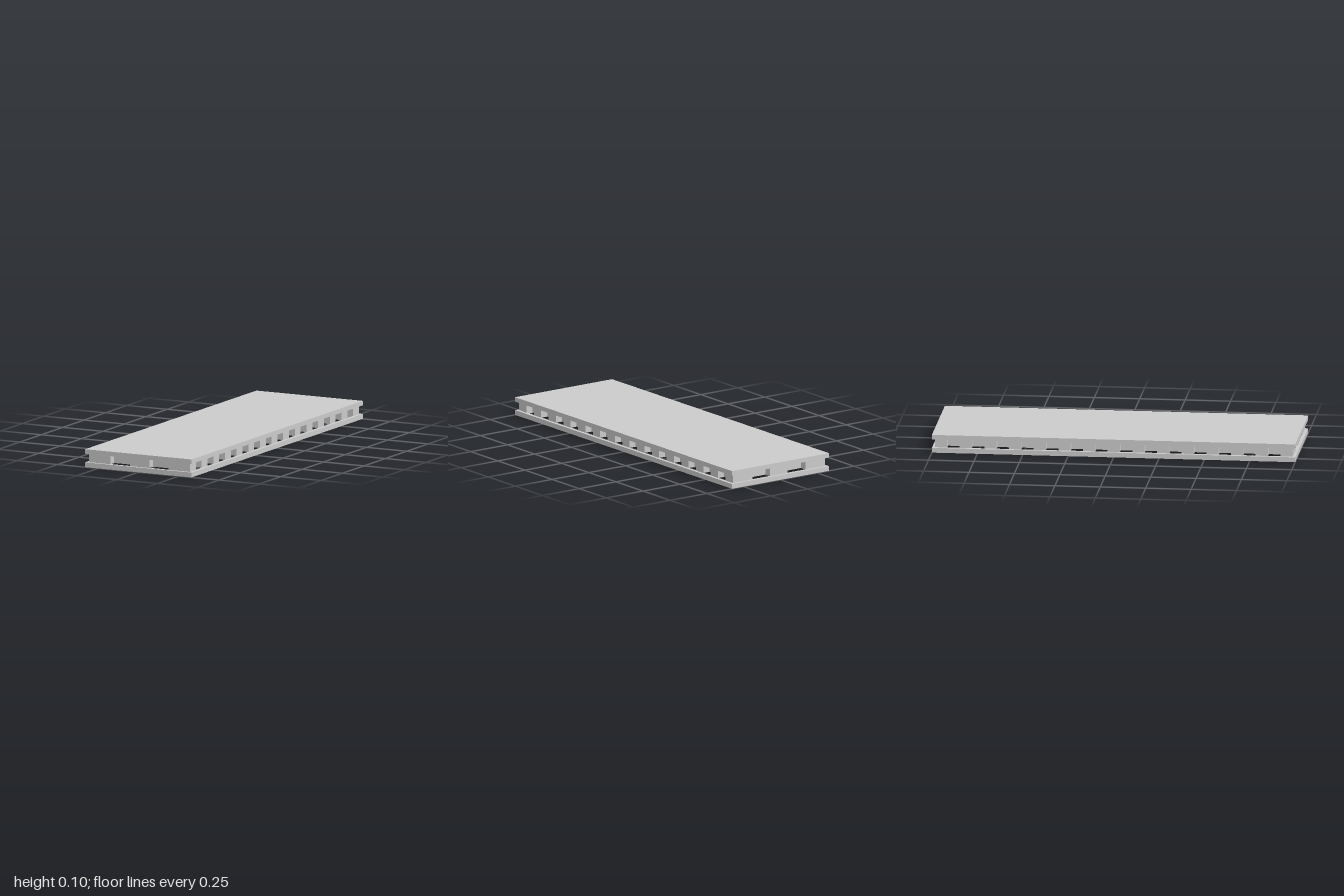
import * as THREE from 'three';

const material = new THREE.MeshStandardMaterial({ color: 0xcccccc, flatShading: true });

// Box given by its lower and upper limits on each axis
function box(name, x0, x1, y0, y1, z0, z1) {
  const mesh = new THREE.Mesh(new THREE.BoxGeometry(x1 - x0, y1 - y0, z1 - z0), material);
  mesh.position.set((x0 + x1) / 2, (y0 + y1) / 2, (z0 + z1) / 2);
  mesh.name = name;
  return mesh;
}

// Rectangular ring lying flat, with half sizes hx, hz and wall width w
function frame(name, hx, hz, w, y0, y1) {
  const rect = (P, a, b) => new P([[-a, -b], [a, -b], [a, b], [-a, b]].map(p => new THREE.Vector2(...p)));
  const shape = rect(THREE.Shape, hx, hz);
  shape.holes.push(rect(THREE.Path, hx - w, hz - w));
  const geometry = new THREE.ExtrudeGeometry(shape, { depth: y1 - y0, bevelEnabled: false });
  geometry.rotateX(-Math.PI / 2);
  geometry.translate(0, y0, 0);
  const mesh = new THREE.Mesh(geometry, material);
  mesh.name = name;
  return mesh;
}

export function createModel() {
  const model = new THREE.Group();
  model.name = 'dentilSlab';
  const HX = 0.33, HZ = 1, LOW = 0.027, HIGH = 0.075, TOP = 0.1;
  const outX = 0.313, outZ = 0.985, coreX = 0.272, coreZ = 0.943;

  // Solid top slab, open bottom rim and the hollow core wall between them
  model.add(box('topSlab', -HX, HX, HIGH, TOP, -HZ, HZ));
  model.add(frame('bottomRim', HX, HZ, 0.02, 0, LOW));
  model.add(frame('coreWall', coreX, coreZ, 0.012, LOW, HIGH));

  // Tooth rows along both long sides
  const teeth = new THREE.Group();
  teeth.name = 'teeth';
  const cells = 29, step = 2 * outZ / cells;
  for (const s of [-1, 1]) {
    const a = Math.min(s * coreX, s * outX), b = Math.max(s * coreX, s * outX);
    for (let i = 0; i < cells; i += 2) {
      const z = -outZ + i * step;
      teeth.add(box('sideTooth', a, b, LOW, HIGH, z, z + step));
    }
    // Three wide teeth on each short end
    const c = Math.min(s * coreZ, s * outZ), d = Math.max(s * coreZ, s * outZ);
    for (const [x0, x1] of [[-outX, -0.18], [-0.06, 0.06], [0.18, outX]]) {
      teeth.add(box('endTooth', x0, x1, LOW, HIGH, c, d));
    }
  }
  model.add(teeth);
  return model;
}
